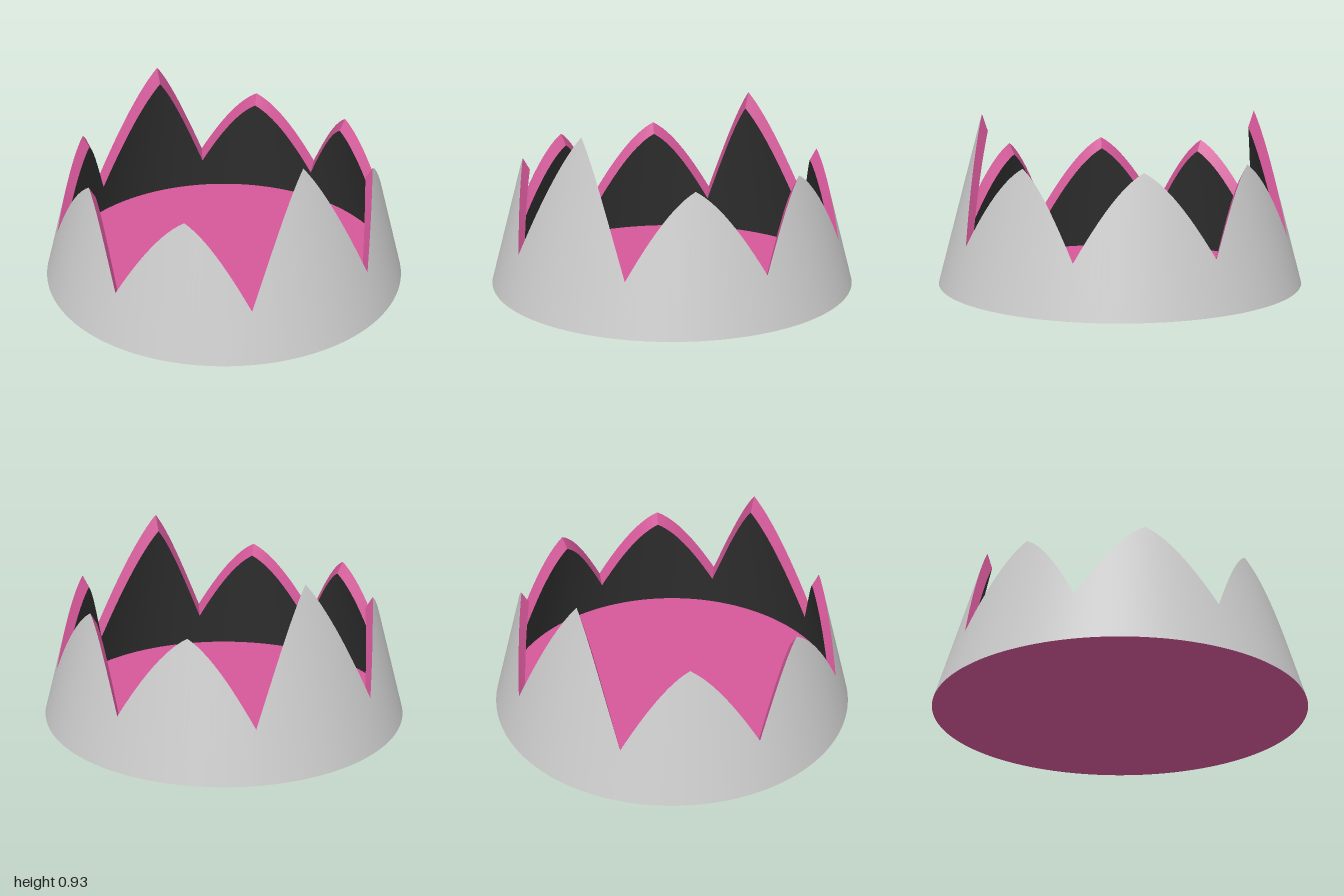
import * as THREE from 'three';
import { toCreasedNormals } from 'three/addons/utils/BufferGeometryUtils.js';

const POINTS = 8;            // teeth around the ring
const HALF = 12;             // steps from valley to tip
const COLUMNS = POINTS * HALF * 2;
const VALLEY = 0.27;

const outerRadius = (y) => 1 - 0.27 * y;
const innerRadius = (y) => 0.953 - 0.28 * y;

// Rim heights at one column; column 0 is the tip of the front tooth
function rimAt(i) {
  const tooth = Math.floor((i + HALF) / (2 * HALF)) % POINTS;
  const u = 1 - Math.abs(((i + HALF) % (2 * HALF)) - HALF) / HALF; // 0 valley, 1 tip
  const tall = tooth % 4 === 0;
  const rise = tall ? 0.655 : 0.43;
  const bulge = tall ? 0.45 : 0.6;
  const outer = VALLEY + rise * (u + bulge * u * (1 - u));
  const drop = THREE.MathUtils.lerp(0.07, tall ? 0.093 : 0.065, u);
  return { outer, inner: outer - drop };
}

// Closed band between two loops, each given as [radius, y] per column
function band(lower, upper) {
  const positions = [], index = [];
  for (let i = 0; i < COLUMNS; i++) {
    const a = (i / COLUMNS) * Math.PI * 2;
    for (const [r, y] of [lower(i), upper(i)]) {
      positions.push(r * Math.sin(a), y, r * Math.cos(a));
    }
    const p = i * 2, q = ((i + 1) % COLUMNS) * 2;
    index.push(p, q, q + 1, p, q + 1, p + 1);
  }
  const geometry = new THREE.BufferGeometry();
  geometry.setAttribute('position', new THREE.Float32BufferAttribute(positions, 3));
  geometry.setIndex(index);
  geometry.computeVertexNormals();
  return geometry;
}

export function createModel() {
  const group = new THREE.Group();
  const grey = new THREE.MeshStandardMaterial({ color: 0xcccccc });
  const dark = new THREE.MeshStandardMaterial({ color: 0x333333 });
  const pink = new THREE.MeshStandardMaterial({ color: 0xd6589a });
  const pinkDisc = new THREE.MeshStandardMaterial({ color: 0xd6589a, side: THREE.DoubleSide });

  const add = (name, geometry, material) => {
    const mesh = new THREE.Mesh(geometry, material);
    mesh.name = name;
    group.add(mesh);
    return mesh;
  };

  const outerRim = (i) => { const y = rimAt(i).outer; return [outerRadius(y), y]; };
  const innerRim = (i) => { const y = rimAt(i).inner; return [innerRadius(y), y]; };

  // Tapered wall, its lining, and the bevelled edge joining them
  add('outerWall', band(() => [1, 0], outerRim), grey);
  add('innerWall', band(innerRim, () => [innerRadius(0), 0]), dark);
  add('toothedRim', toCreasedNormals(band(outerRim, innerRim), 0.45), pink);

  // Flat base disc, seen from inside and below
  const base = add('base', new THREE.CircleGeometry(1, COLUMNS), pinkDisc);
  base.rotation.x = -Math.PI / 2;

  return group;
}
